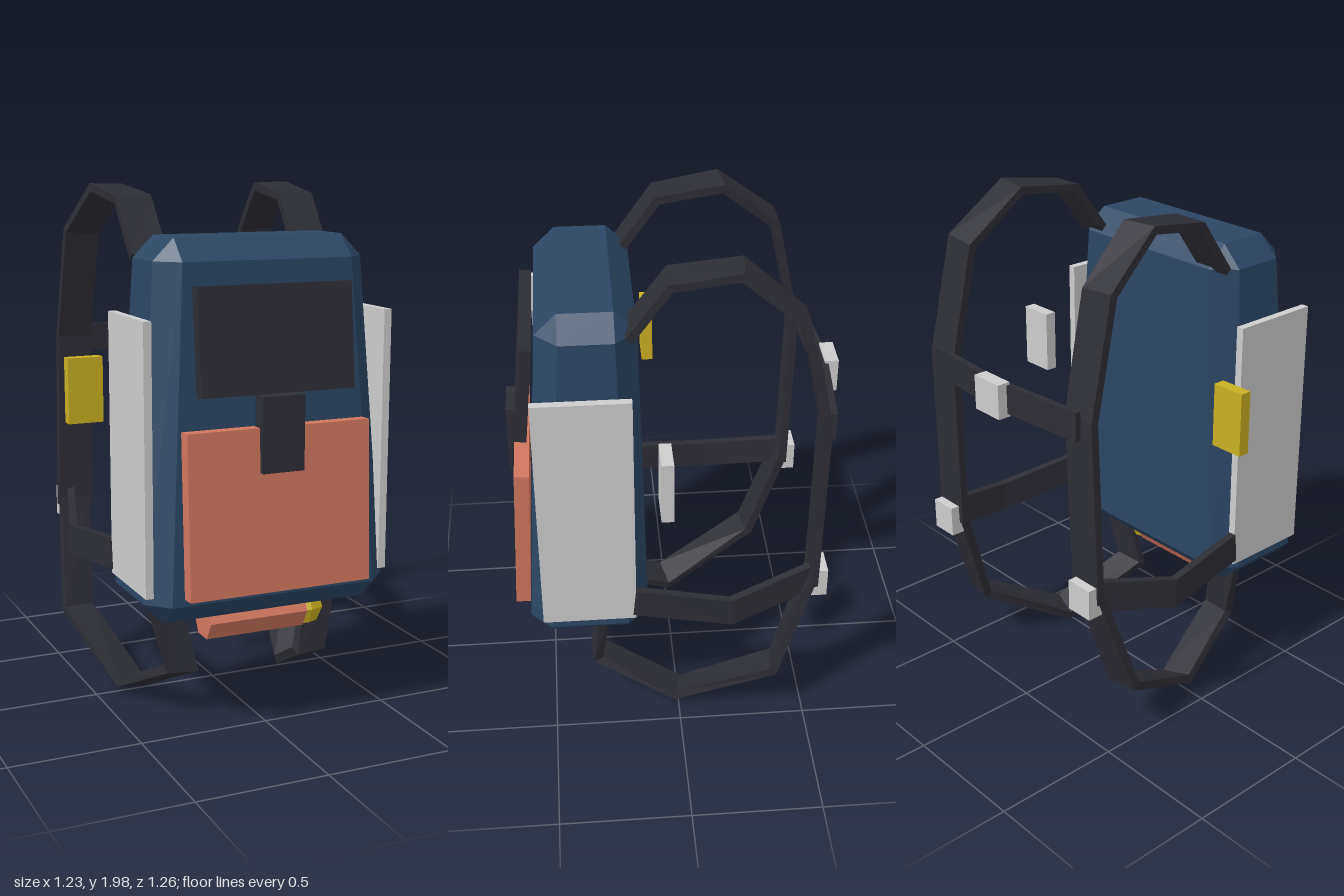
import * as THREE from 'three';

const V = (x, y, z) => new THREE.Vector3(x, y, z);

// Flat-faced skin through a list of equal-length rings, capped at both ends
function loft(rings) {
  const pos = [];
  const tri = (a, b, c) => {
    const area = b.clone().sub(a).cross(c.clone().sub(a)).length();
    if (area > 1e-8) for (const p of [a, b, c]) pos.push(p.x, p.y, p.z);
  };
  const n = rings[0].length;
  for (let k = 0; k < rings.length - 1; k++) {
    for (let i = 0; i < n; i++) {
      const j = (i + 1) % n, a = rings[k], b = rings[k + 1];
      tri(a[i], a[j], b[j]);
      tri(a[i], b[j], b[i]);
    }
  }
  const first = rings[0], last = rings[rings.length - 1];
  for (let i = 1; i < n - 1; i++) {
    tri(first[0], first[i + 1], first[i]);
    tri(last[0], last[i], last[i + 1]);
  }
  const g = new THREE.BufferGeometry();
  g.setAttribute('position', new THREE.Float32BufferAttribute(pos, 3));
  g.computeVertexNormals();
  return g;
}

// Flat webbing swept along a path; hint gives the direction of its width
function webbing(points, width, thick, hint) {
  const rings = points.map((p, i) => {
    const next = points[Math.min(i + 1, points.length - 1)];
    const prev = points[Math.max(i - 1, 0)];
    const dOut = next.clone().sub(i < points.length - 1 ? p : prev).normalize();
    const dIn = p.clone().sub(i > 0 ? prev : p).normalize();
    const t = dOut.clone().add(dIn).normalize();
    const s = hint.clone().addScaledVector(t, -hint.dot(t)).normalize();
    const n = t.clone().cross(s).multiplyScalar(thick / 2 / Math.max(0.6, t.dot(dOut)));
    s.multiplyScalar(width / 2);
    return [[-1, -1], [1, -1], [1, 1], [-1, 1]].map(([a, b]) =>
      p.clone().addScaledVector(s, a).addScaledVector(n, b));
  });
  return loft(rings);
}

// Chamfered-rectangle ring, counter-clockwise seen from above
function octagon(y, x, zBack, zFront, c) {
  return [
    [x, zFront - c], [x, zBack + c], [x - c, zBack], [-x + c, zBack],
    [-x, zBack + c], [-x, zFront - c], [-x + c, zFront], [x - c, zFront],
  ].map(([px, pz]) => V(px, y, pz));
}

export function createModel() {
  const model = new THREE.Group();
  const mat = (name, color) => {
    const m = new THREE.MeshStandardMaterial({ color });
    m.name = name;
    return m;
  };
  const navy = mat('navy fabric', 0x2c4663);
  const dark = mat('dark webbing', 0x2d2d35);
  const coral = mat('coral fabric', 0xd2775f);
  const grey = mat('light grey', 0xcdcdcd);
  const yellow = mat('yellow', 0xcbb022);

  const add = (name, geometry, material) => {
    const mesh = new THREE.Mesh(geometry, material);
    mesh.name = name;
    model.add(mesh);
    return mesh;
  };
  // Box from its min and max corners
  const box = (name, material, [x0, x1], [y0, y1], [z0, z1], tilt = 0) => {
    const mesh = add(name, new THREE.BoxGeometry(x1 - x0, y1 - y0, z1 - z0), material);
    mesh.position.set((x0 + x1) / 2, (y0 + y1) / 2, (z0 + z1) / 2);
    mesh.rotation.x = tilt;
    return mesh;
  };

  // Tapered main bag with chamfered edges
  add('bag', loft([
    octagon(0.452, 0.405, 0.2, 0.495, 0),
    octagon(0.532, 0.485, 0.12, 0.575, 0.08),
    octagon(1.74, 0.41, 0.142, 0.498, 0.08),
    octagon(1.82, 0.33, 0.222, 0.418, 0),
  ]), navy);

  // Front pocket, flap and closing strap
  box('frontPocket', coral, [-0.358, 0.358], [0.56, 1.16], [0.561, 0.617], -0.047);
  box('flap', dark, [-0.3, 0.3], [1.275, 1.66], [0.53, 0.575], -0.1);
  box('closingStrap', dark, [-0.082, 0.082], [1.0, 1.275], [0.566, 0.63]);

  // Rolled mat under the bag, with a rounded end piece
  const roll = add('bottomRoll', new THREE.CylinderGeometry(0.08, 0.08, 0.4, 6).toNonIndexed(), coral);
  roll.geometry.rotateZ(Math.PI / 2);
  roll.geometry.computeVertexNormals();
  roll.position.set(0, 0.4, 0.365);
  const end = add('rollEnd', new THREE.SphereGeometry(0.08, 8, 4).toNonIndexed(), yellow);
  end.geometry.computeVertexNormals();
  end.position.set(0.22, 0.4, 0.365);

  for (const s of [1, -1]) {
    const side = s > 0 ? 'left' : 'right';
    const span = (a, b) => (s > 0 ? [a, b] : [-b, -a]);
    const path = (pts) => pts.map(([x, y, z]) => V(s * x, y, z));

    box(side + 'SidePanel', grey, span(0.457, 0.487), [0.56, 1.547], [0.17, 0.526]);
    box(side + 'Tag', s > 0 ? grey : yellow, span(0.48, 0.615), [1.122, 1.368], [0.037, 0.082]);

    // Padded strap over the shoulder and down the back
    add(side + 'ShoulderStrap', webbing(path([
      [0.33, 1.74, 0.175], [0.335, 1.94, 0.03], [0.35, 1.975, -0.215],
      [0.385, 1.8, -0.43], [0.395, 1.37, -0.525], [0.41, 0.66, -0.513],
    ]), 0.14, 0.03, V(s, 0, 0)), dark);

    // Loose webbing looping below the bag
    add(side + 'LowerStrap', webbing(path([
      [0.41, 0.69, -0.512], [0.45, 0.25, -0.375], [0.355, 0.04, 0],
      [0.27, 0.2, 0.325], [0.335, 0.48, 0.29],
    ]), 0.125, 0.034, V(s, 0.2, 0)), dark);

    // Side band from the bag to the strap buckle
    add(side + 'HipBand', webbing(path([
      [0.475, 0.635, 0.175], [0.52, 0.6, -0.19], [0.425, 0.675, -0.515],
    ]), 0.118, 0.03, V(0, 1, 0)), dark);

    box(side + 'Buckle', grey, span(0.36, 0.472), [0.612, 0.732], [-0.565, -0.503]);
  }

  // Chest strap and its clip
  add('chestStrap', webbing(
    [V(-0.41, 1.355, -0.553), V(0, 1.355, -0.585), V(0.41, 1.355, -0.553)],
    0.11, 0.024, V(0, 1, 0)), dark);
  box('chestClip', grey, [-0.068, 0.068], [1.287, 1.42], [-0.63, -0.578]);

  return model;
}
